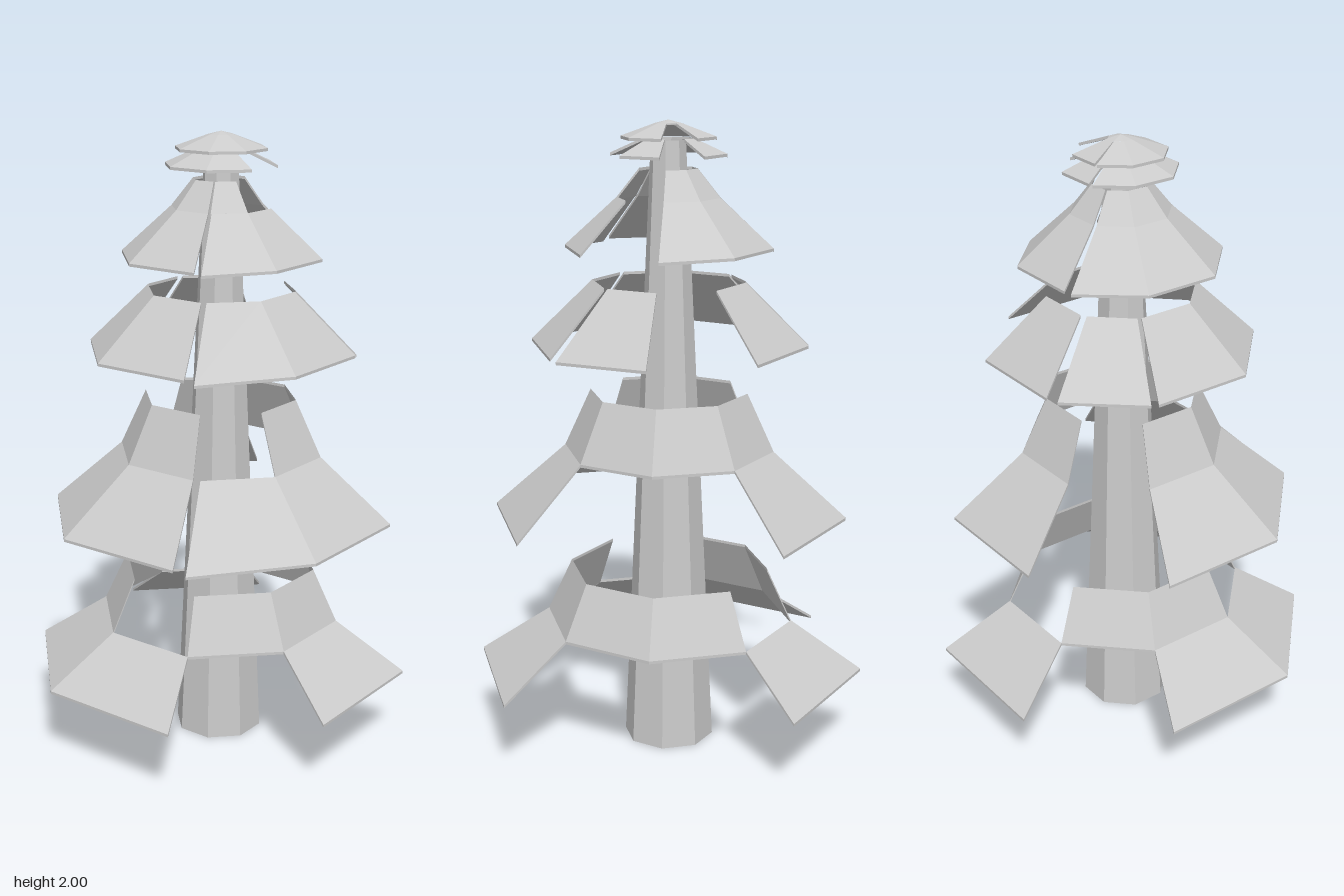
import * as THREE from 'three';

const AXIS_X = 0.092;
const THICK = 0.009;
const STEP = Math.PI / 4;
const rad = THREE.MathUtils.degToRad;

// Each band is an eight-sided sloping ring: [inner radius, top y], [outer radius, bottom y],
// the sectors present (0 starts at +x and turns towards +z), and for bent sectors
// [start angle change, end angle change, drop at the outer end corner].
const BANDS = [
  { name: 'bottomTierLower', top: [0.4, 0.412], bottom: [0.628, 0.258], sectors: [1, 3, 4, 6] },
  { name: 'bottomTierUpper', top: [0.32, 0.585], bottom: [0.4, 0.412], sectors: [0, 1, 2, 4, 5, 7] },
  { name: 'secondTierLower', top: [0.335, 0.975], bottom: [0.567, 0.768], sectors: [1, 2, 3, 4, 6], bent: { 2: [0, -4, 0.018] } },
  { name: 'secondTierUpper', top: [0.25, 1.16], bottom: [0.335, 0.975], sectors: [0, 1, 3, 4, 6, 7] },
  { name: 'thirdTier', top: [0.24, 1.51], bottom: [0.437, 1.318], sectors: [0, 1, 2, 3, 4, 5, 6],
    bent: { 0: [0, -4, 0.005], 2: [0, -4, 0.015], 5: [3, -5, 0.005] } },
  { name: 'fourthTierLower', top: [0.16, 1.767], bottom: [0.325, 1.617], sectors: [1, 2, 3, 4, 5, 6, 7],
    bent: { 2: [0, -4, 0.008], 5: [0, -4, 0.005], 7: [0, -3.5, 0.005] } },
  { name: 'fourthTierUpper', top: [0.09, 1.855], bottom: [0.16, 1.767], sectors: [2, 3, 4, 5, 6, 7],
    bent: { 2: [0, -3, 0], 5: [0, -4, 0], 7: [0, -3.5, 0] } },
  { name: 'crownRing', top: [0.08, 1.945], bottom: [0.18, 1.9], sectors: [0, 2, 3, 4, 5, 6], bent: { 5: [0, -4, 0.003] } },
  { name: 'crownCap', top: [0.04, 1.99], bottom: [0.147, 1.951], sectors: [0, 1, 2, 3, 4, 5, 6], bent: { 5: [0, -3, 0.002] } },
];

// Thin sloping board covering one sector of a band
function boardGeometry({ top, bottom, bent = {} }, sector) {
  const [da, db, drop] = bent[sector] ?? [0, 0, 0];
  const start = sector * STEP + rad(da);
  const end = (sector + 1) * STEP + rad(db);
  const geometry = new THREE.BoxGeometry(1, 1, 1);
  const p = geometry.attributes.position;
  for (let i = 0; i < p.count; i++) {
    const isEnd = p.getX(i) < 0;
    const isOuter = p.getZ(i) > 0;
    const angle = isEnd ? end : start;
    const [r, y] = isOuter ? bottom : top;
    const height = y - (p.getY(i) < 0 ? THICK : 0) - (isEnd && isOuter ? drop : 0);
    p.setXYZ(i, r * Math.cos(angle), height, r * Math.sin(angle));
  }
  geometry.computeVertexNormals();
  return geometry;
}

export function createModel() {
  const tree = new THREE.Group();
  tree.name = 'tree';
  const body = new THREE.Group();
  body.name = 'trunkAndBranches';
  body.position.x = AXIS_X;
  tree.add(body);

  const material = new THREE.MeshStandardMaterial({ color: 0xcccccc, flatShading: true, side: THREE.DoubleSide });

  // Hollow tapering trunk
  const trunk = new THREE.Mesh(new THREE.CylinderGeometry(0.054, 0.145, 1.94, 8, 1, true), material);
  trunk.name = 'trunk';
  trunk.position.y = 0.97;
  body.add(trunk);

  // Branch tiers
  for (const band of BANDS) {
    const tier = new THREE.Group();
    tier.name = band.name;
    for (const sector of band.sectors) {
      const board = new THREE.Mesh(boardGeometry(band, sector), material);
      board.name = 'branchBoard';
      tier.add(board);
    }
    body.add(tier);
  }

  // Shallow tip
  const tip = new THREE.Mesh(new THREE.ConeGeometry(0.04, 0.01, 8, 1), material);
  tip.name = 'treeTip';
  tip.position.y = 1.995;
  body.add(tip);

  return tree;
}
